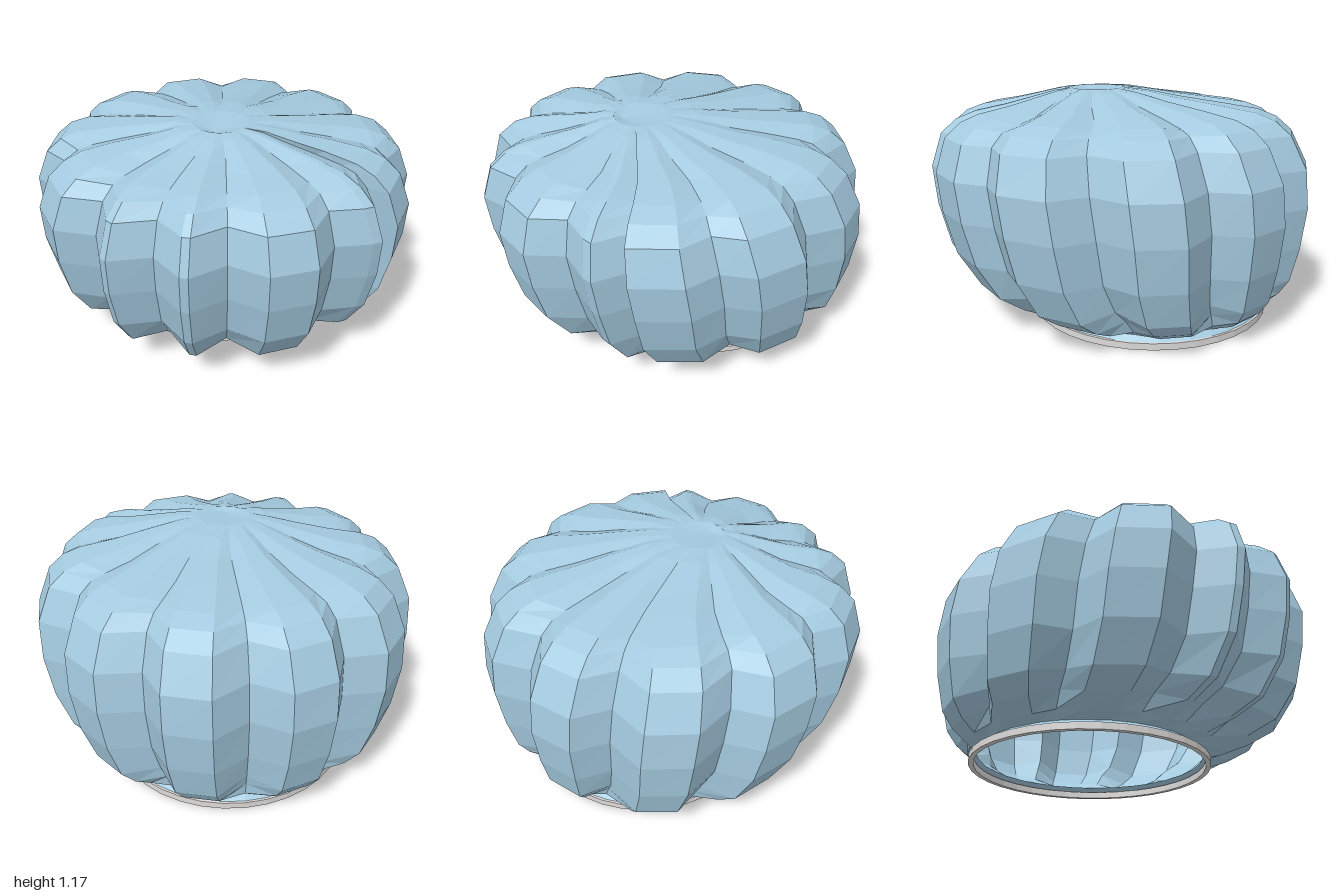
import * as THREE from 'three';

// Plan outline of the puffed lobes [x, z], from the back round by +x:
// each lobe is a valley followed by two ridge points.
const OUTLINE = [
  [0, -0.89], [0.18, -1], [0.4, -0.93],
  [0.47, -0.75], [0.69, -0.74], [0.83, -0.55],
  [0.81, -0.34], [0.98, -0.23], [1, 0.03],
  [0.9, 0.17], [0.93, 0.35], [0.82, 0.58],
  [0.72, 0.51], [0.72, 0.71], [0.67, 0.73],
  [0.49, 0.75], [0.4, 0.93], [0.18, 0.99],
  [0, 0.89], [-0.17, 0.99], [-0.21, 0.98],
  [-0.33, 0.82], [-0.54, 0.85], [-0.57, 0.82],
  [-0.61, 0.63], [-0.82, 0.58], [-0.93, 0.35],
  [-0.87, 0.17], [-1, 0.03], [-0.98, -0.23],
  [-0.81, -0.34], [-0.84, -0.55], [-0.69, -0.74],
  [-0.47, -0.75], [-0.4, -0.93], [-0.18, -1],
];

// Cross-sections upward: y, centre x, centre z, radius, lobe strength, valley drop
const ROWS = [
  [0.033, 0, -0.18, 0.635, 0, 0],
  [0.06, 0, -0.18, 0.605, 0, 0],
  [0.075, 0, -0.16, 0.68, 0.3, -0.02],
  [0.125, 0, -0.11, 0.78, 0.8, -0.04],
  [0.2, 0, -0.06, 0.875, 1, -0.03],
  [0.38, 0, -0.02, 0.955, 1, 0],
  [0.6, 0, -0.005, 0.995, 1, 0],
  [0.8, 0, 0.015, 0.995, 1, 0],
  [0.97, 0, 0.03, 0.925, 1, 0],
  [1.04, 0, 0.03, 0.845, 0.95, 0.01],
  [1.077, 0, 0.03, 0.75, 0.85, 0.025],
  [1.105, 0, 0.05, 0.58, 0.7, 0.025],
  [1.133, 0, 0.1, 0.41, 0.5, 0.018],
  [1.163, -0.01, 0.14, 0.25, 0.3, 0.008],
  [1.17, -0.02, 0.18, 0.14, 0, 0],
  [1.152, -0.05, 0.27, 0, 0, 0],
];
const LEAN = 0.07; // flanks lean forward with height

function puffGeometry() {
  const n = OUTLINE.length;
  const pos = [];
  const index = [];
  ROWS.forEach(([y, cx, cz, r, amp, drop], j) => {
    OUTLINE.forEach(([ox, oz], i) => {
      const len = Math.hypot(ox, oz);
      const k = r * (1 / len + (1 - 1 / len) * amp); // circle blended to lobes
      const lean = LEAN * amp * (y - 0.65) * (1 - oz * oz);
      pos.push(cx + ox * k, y - (i % 3 === 0 ? drop : 0), cz + oz * k + lean);
      if (j === ROWS.length - 1) return;
      const a = j * n + i, b = j * n + (i + 1) % n;
      index.push(a, a + n, b);
      if (j < ROWS.length - 2) index.push(b, a + n, b + n);
    });
  });
  const geo = new THREE.BufferGeometry();
  geo.setAttribute('position', new THREE.Float32BufferAttribute(pos, 3));
  geo.setIndex(index);
  const flat = geo.toNonIndexed();
  flat.computeVertexNormals();
  return flat;
}

export function createModel() {
  const group = new THREE.Group();
  group.name = 'puffedCap';
  const blue = new THREE.MeshStandardMaterial({
    name: 'pale blue', color: 0xa4cadf, flatShading: true, side: THREE.DoubleSide,
  });
  const grey = new THREE.MeshStandardMaterial({
    name: 'light grey', color: 0xdcdad9, flatShading: true,
  });

  // Hollow lobed shell, open underneath
  const puff = new THREE.Mesh(puffGeometry(), blue);
  puff.name = 'puffedShell';
  group.add(puff);

  // Thin band round the opening
  const profile = [[0.618, 0], [0.645, 0], [0.645, 0.035], [0.618, 0.035], [0.618, 0]]
    .map(([x, y]) => new THREE.Vector2(x, y));
  const band = new THREE.Mesh(new THREE.LatheGeometry(profile, 36), grey);
  band.name = 'baseBand';
  band.position.z = -0.18;
  group.add(band);

  return group;
}
